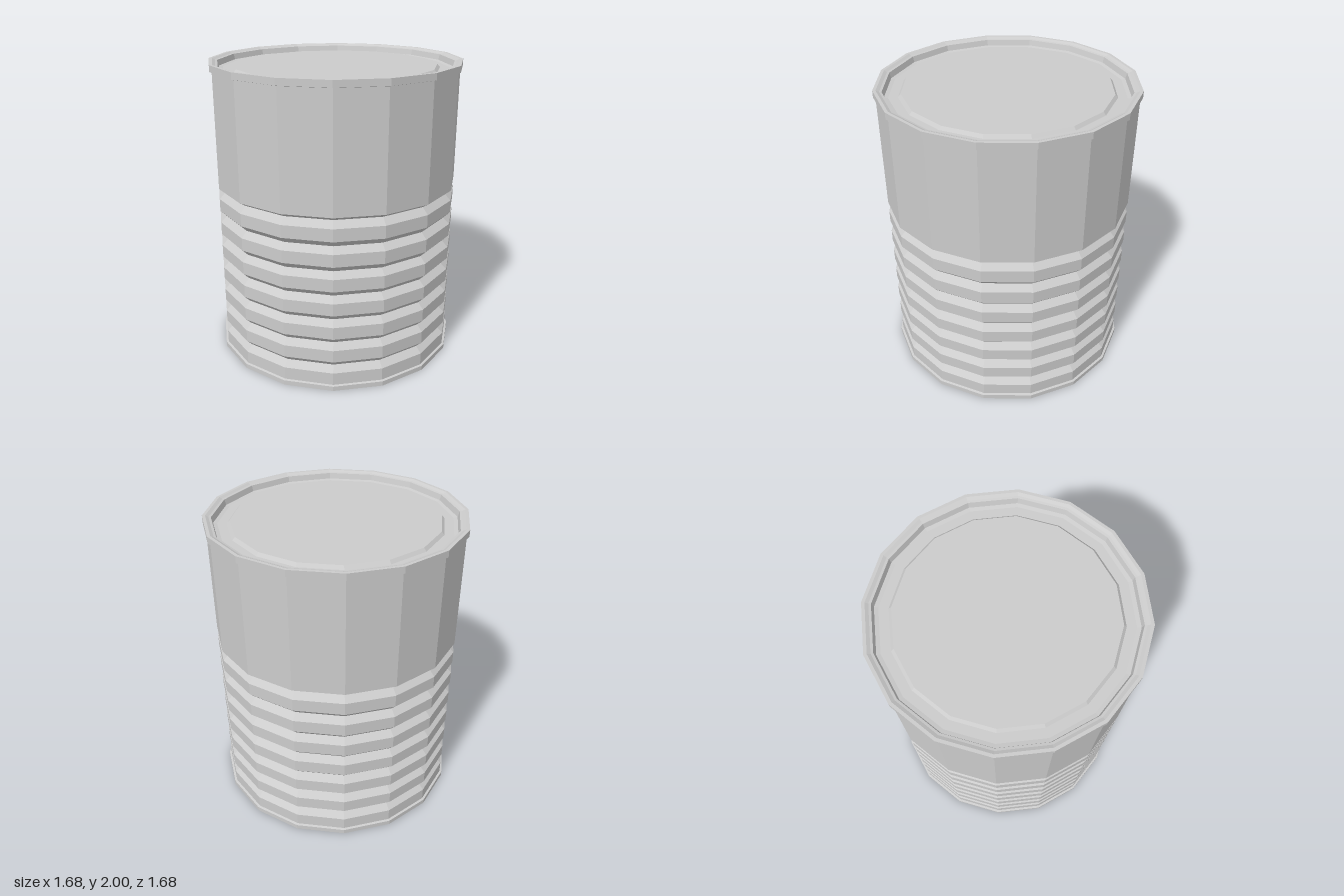
import * as THREE from 'three';

const SIDES = 16;
const BODY_R = 0.825, GROOVE_R = 0.783, RIM_R = 0.84;

export function createModel() {
  const can = new THREE.Group();
  can.name = 'tinCan';
  const material = new THREE.MeshStandardMaterial({ color: 0xcccccc, flatShading: true });

  // Profiles run from [radius, height] low/inside to high, so faces point outwards
  const addLathe = (name, profile) => {
    const points = profile.map(([r, y]) => new THREE.Vector2(r, y));
    const mesh = new THREE.Mesh(new THREE.LatheGeometry(points, SIDES), material);
    mesh.name = name;
    can.add(mesh);
  };

  // Base with a shallow pressed ring and a thin rim
  addLathe('base', [
    [0, 0.004], [0.525, 0.004], [0.56, 0.012], [0.66, 0.012], [0.7, 0],
    [RIM_R, 0], [RIM_R, 0.032], [BODY_R, 0.036],
  ]);

  // Wall: seven evenly spaced grooves below a plain upper band
  const wall = [[BODY_R, 0.036]];
  const pitch = 0.1665;
  for (let i = 0; i < 7; i++) {
    const y = 0.121 + i * pitch;
    const last = i === 6;
    wall.push([BODY_R, y], [GROOVE_R, y + (last ? 0.043 : 0.04)], [BODY_R, y + (last ? 0.07 : 0.083)]);
  }
  wall.push([BODY_R, 1.953]);
  addLathe('ribbedWall', wall);

  // Lid: raised rim, sunken channel and flat centre panel
  addLathe('lid', [
    [BODY_R, 1.953], [RIM_R, 1.957], [RIM_R, 2], [0.82, 2], [0.8, 1.99], [0.785, 1.987],
    [0.775, 1.95], [0.75, 1.945], [0.69, 1.945], [0.672, 1.965], [0, 1.965],
  ]);

  return can;
}
